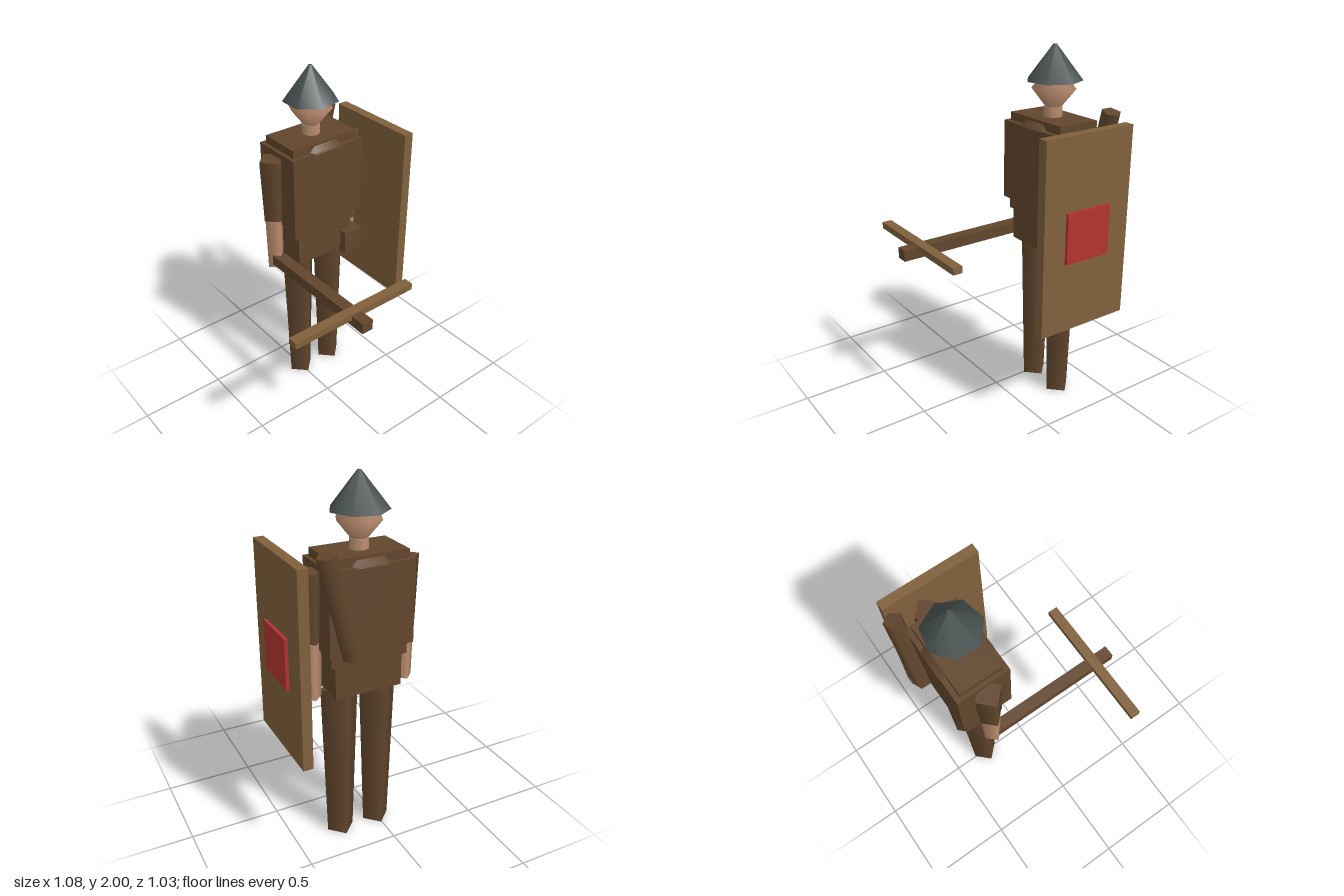
import * as THREE from 'three';

const mat = (name, color) => {
  const m = new THREE.MeshStandardMaterial({ color });
  m.name = name;
  return m;
};

export function createModel() {
  const model = new THREE.Group();
  model.name = 'guard';
  const leather = mat('brown leather', 0x62462d);
  const wood = mat('light wood', 0x80603c);
  const skin = mat('skin', 0xbd8e70);
  const iron = mat('dark iron', 0x434c4c);
  const red = mat('red paint', 0xb4332f);

  const add = (name, geo, material) => {
    const mesh = new THREE.Mesh(geo, material);
    mesh.name = name;
    model.add(mesh);
    return mesh;
  };
  // Box from its minimum and maximum on each axis
  const box = (name, material, [x0, x1], [y0, y1], [z0, z1]) => {
    const mesh = add(name, new THREE.BoxGeometry(x1 - x0, y1 - y0, z1 - z0), material);
    mesh.position.set((x0 + x1) / 2, (y0 + y1) / 2, (z0 + z1) / 2);
    return mesh;
  };
  // Upright tapered prism with one corner pointing to +x
  const prism = (name, material, sides, rTop, rBottom, y0, y1, x, z) => {
    const geo = new THREE.CylinderGeometry(rTop, rBottom, y1 - y0, sides).rotateY(Math.PI / 2);
    const mesh = add(name, geo, material);
    mesh.position.set(x, (y0 + y1) / 2, z);
    return mesh;
  };

  const cx = 0.115, cz = -0.287; // body axis

  // Torso layers
  box('vest', leather, [-0.117, 0.346], [1.14, 1.58], [-0.437, -0.136]);
  box('tunic', leather, [-0.097, 0.326], [1.07, 1.625], [-0.409, -0.165]);
  box('hips', leather, [-0.07, 0.303], [0.895, 1.07], [-0.405, -0.17]);
  box('beltPouch', leather, [0.232, 0.352], [0.875, 1.01], [-0.207, -0.127]);
  prism('collar', leather, 6, 0.142, 0.177, 1.575, 1.61, cx, cz);

  // Head and helmet
  prism('neck', skin, 8, 0.05, 0.05, 1.6, 1.68, cx, cz);
  const head = add('head', new THREE.SphereGeometry(0.119, 8, 2), skin);
  head.scale.y = 1.25;
  head.position.set(cx, 1.772, cz);
  prism('helmet', iron, 7, 0.01, 0.153, 1.815, 2, cx, cz);

  // Four-sided limbs, mirrored about the body axis
  for (const [side, s] of [['right', -1], ['left', 1]]) {
    prism(side + 'Leg', leather, 4, 0.107, 0.077, 0, 0.9, cx + s * 0.111, -0.284);
    prism(side + 'Sleeve', leather, 4, 0.077, 0.063, 1.187, 1.55, cx + s * 0.265, cz);
    prism(side + 'Forearm', skin, 4, 0.058, 0.052, 0.875, 1.187, cx + s * 0.265, cz);
  }

  // Five-sided quiver leaning across the back
  const quiver = prism('quiver', leather, 5, 0.052, 0.052, 0, 0.548, 0, 0);
  quiver.position.set(0.305, 1.407, -0.465);
  quiver.rotation.z = -0.25;

  // Shield with its painted badge
  box('shield', wood, [0.465, 0.52], [0.58, 1.635], [-0.477, 0.079]);
  box('shieldBadge', red, [0.519, 0.537], [0.97, 1.245], [-0.334, -0.058]);

  // Crossbow
  box('crossbowStock', leather, [-0.185, -0.118], [0.895, 0.957], [-0.29, 0.514]);
  box('crossbowLimbs', wood, [-0.54, 0.237], [0.93, 0.968], [0.373, 0.429]);

  return model;
}
